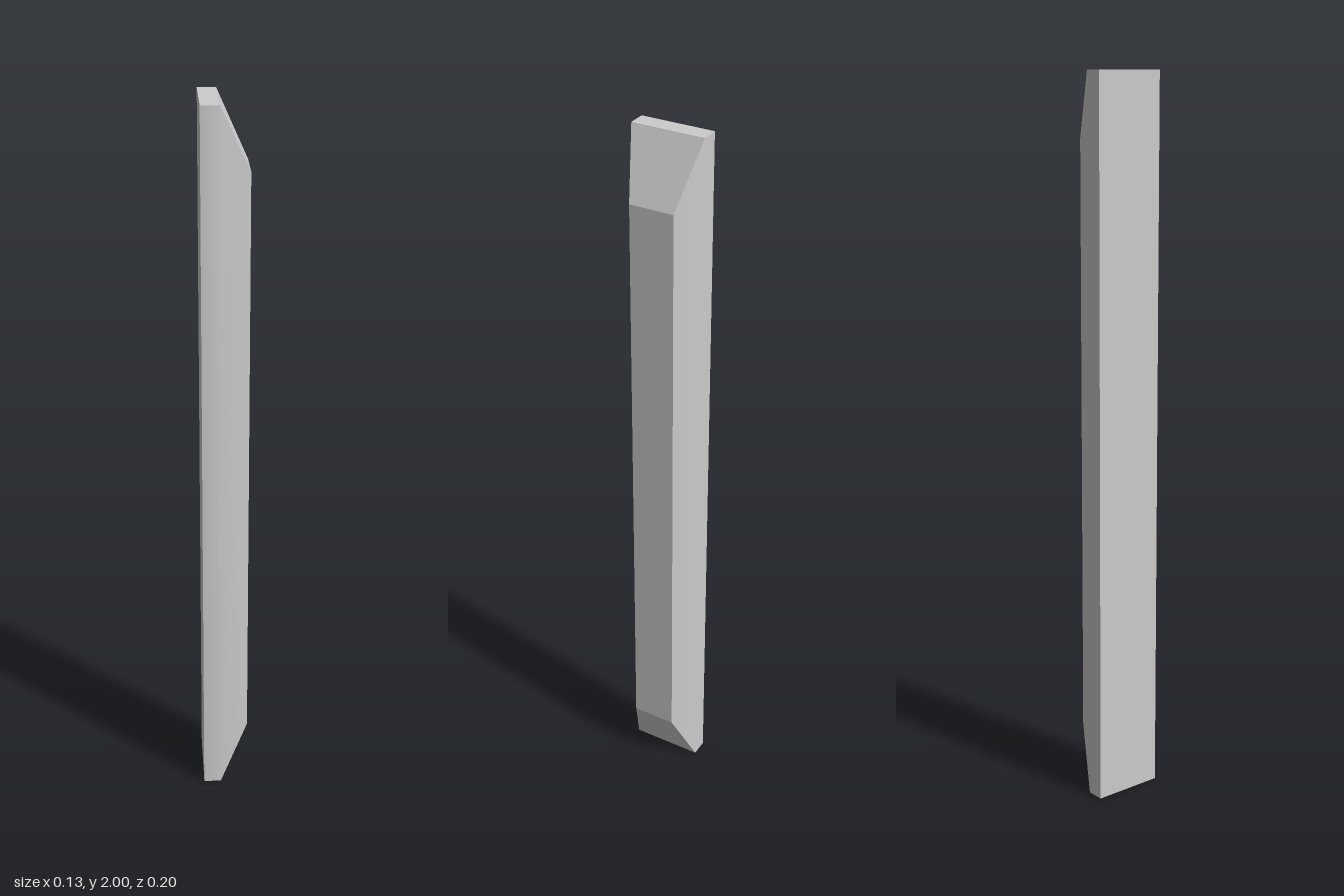
import * as THREE from 'three';
import { mergeGeometries } from 'three/addons/utils/BufferGeometryUtils.js';

// Four corners of a rectangular section at x, counter-clockwise seen from +x
function section(x, inset, halfZ) {
  const lo = inset, hi = 2 - inset;
  return [[x, lo, halfZ], [x, lo, -halfZ], [x, hi, -halfZ], [x, hi, halfZ]];
}

// A strip of quads through pairs of points; shared rows are shaded smoothly
function strip(rows) {
  const geo = new THREE.BufferGeometry();
  geo.setAttribute('position', new THREE.Float32BufferAttribute(rows.flat(2), 3));
  const index = [];
  for (let r = 0; r < rows.length - 1; r++) {
    const a = r * 2;
    index.push(a, a + 1, a + 3, a, a + 3, a + 2);
  }
  geo.setIndex(index);
  geo.computeVertexNormals();
  return geo;
}

export function createModel() {
  const back = section(-0.064, 0, 0.101);
  const rim = section(-0.015, 0, 0.101);
  const face = section(0.064, 0.174, 0.062);

  // Flat back and flat raised face
  const parts = [
    strip([[back[1], back[0]], [back[2], back[3]]]),
    strip([[face[0], face[1]], [face[3], face[2]]]),
  ];

  // Straight rim and sloping bevel on each of the four sides
  for (let i = 0; i < 4; i++) {
    const j = (i + 1) % 4;
    const [a, b, c] = [back, rim, face].map((s) => [s[i], s[j]]);
    if (i % 2) parts.push(strip([a, b, c])); // long sides blend softly
    else parts.push(strip([a, b]), strip([b, c])); // ends keep a sharp edge
  }

  const bar = new THREE.Mesh(
    mergeGeometries(parts),
    new THREE.MeshStandardMaterial({ color: 0xcccccc })
  );
  bar.name = 'bevelledBar';

  const model = new THREE.Group();
  model.name = 'trimBar';
  model.add(bar);
  return model;
}
